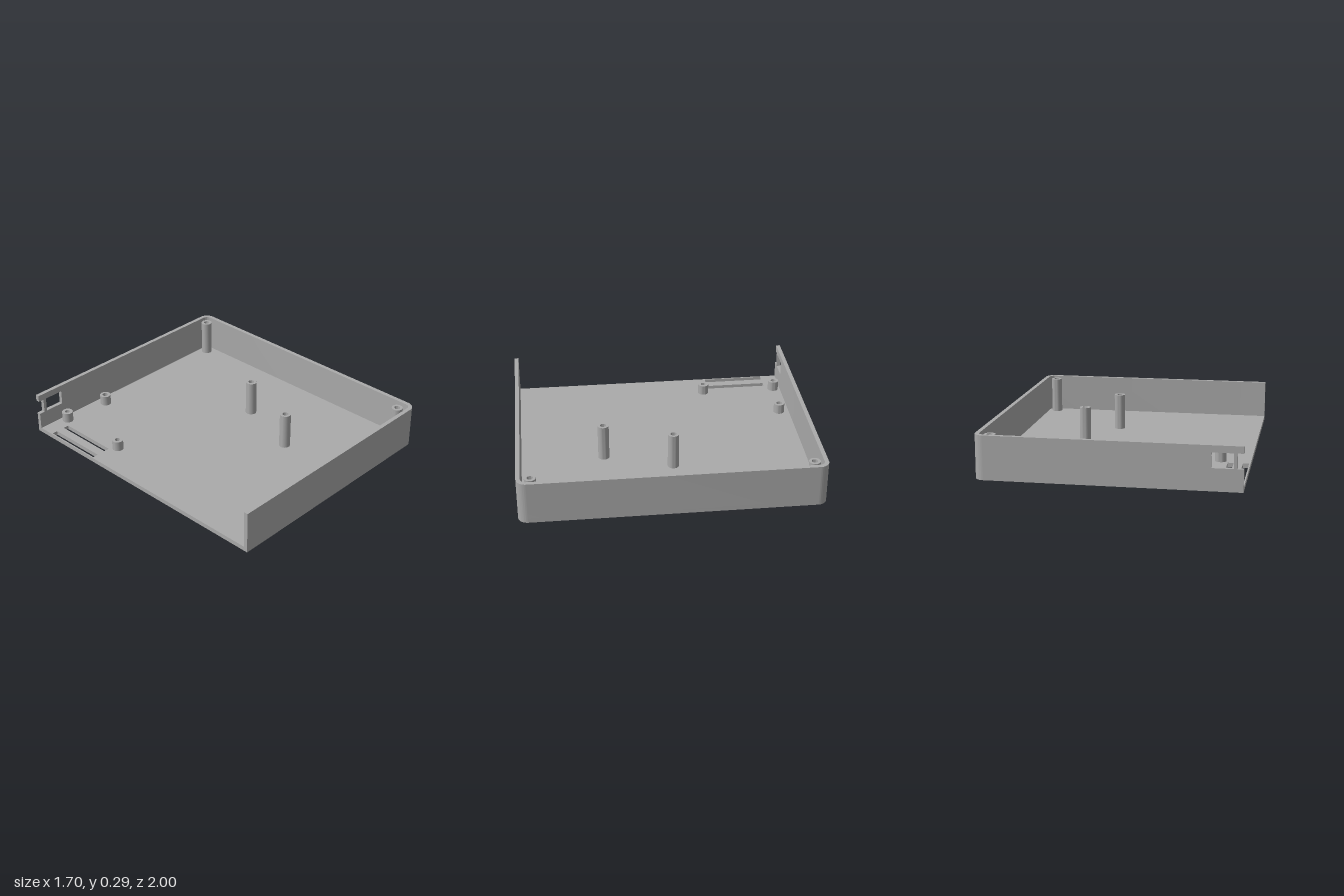
import * as THREE from 'three';
import { toCreasedNormals } from 'three/addons/utils/BufferGeometryUtils.js';

const W = 0.85, D = 1, H = 0.29, FLOOR = 0.03, WALL = 0.028, R = 0.065;
const END = -0.62; // where the plain back wall meets the port section

// x, z, top height, upper hole radius, underside bore radius, bore top
const POSTS = [
  [-0.65, -0.92, 0.10, 0.018, 0.028, 0.06],
  [-0.65, -0.39, 0.10, 0.018, 0.028, 0.06],
  [-0.31, -0.90, 0.10, 0.02, 0.015, 0.06],
  [0.33, -0.05, 0.28, 0.02, 0.031, 0.2],
  [0.17, 0.41, 0.28, 0.02, 0.031, 0.2],
  [0.76, -0.915, 0.28, 0.02, 0.031, 0.2],
  [0.76, 0.91, 0.28, 0.02, 0.031, 0.2],
];
const FEET = [[0.685, -0.835], [0.685, 0.835]];
const FOOT_R = 0.06;

const crease = (g) => toCreasedNormals(g, 0.6);

// Extrude a plan shape (shape y = -z) upward from y0 to y1
function slab(shape, y0, y1) {
  const g = new THREE.ExtrudeGeometry(shape, { depth: y1 - y0, bevelEnabled: false, curveSegments: 16 });
  g.rotateX(-Math.PI / 2);
  g.translate(0, y0, 0);
  return crease(g);
}

function rect(x0, y0, x1, y1) {
  const p = new THREE.Path();
  p.moveTo(x0, y0);
  p.lineTo(x1, y0);
  p.lineTo(x1, y1);
  p.lineTo(x0, y1);
  p.closePath();
  return p;
}

function circle(x, z, r) {
  const p = new THREE.Path();
  p.absarc(x, -z, r, 0, Math.PI * 2, true);
  return p;
}

export function createModel() {
  const group = new THREE.Group();
  const grey = new THREE.MeshStandardMaterial({ color: 0xaaaaaa });
  grey.name = 'plastic grey';
  const add = (name, geometry) => {
    const m = new THREE.Mesh(geometry, grey);
    m.name = name;
    group.add(m);
    return m;
  };

  // Floor, rounded on the closed side, with slots, screw holes and foot recesses
  const floor = new THREE.Shape();
  floor.moveTo(-W, -D);
  floor.lineTo(W - R, -D);
  floor.absarc(W - R, -D + R, R, -Math.PI / 2, 0, false);
  floor.lineTo(W, D - R);
  floor.absarc(W - R, D - R, R, 0, Math.PI / 2, false);
  floor.lineTo(-W, D);
  floor.closePath();
  for (const x of [-0.84, -0.74]) floor.holes.push(rect(x, 0.43, x + 0.04, 0.86));
  for (const [x, z, , , bore] of POSTS) floor.holes.push(circle(x, z, bore));
  for (const [x, z] of FEET) floor.holes.push(circle(x, z, FOOT_R));
  add('floor', slab(floor, 0, FLOOR));

  // Discs closing the shallow foot recesses
  for (const [x, z] of FEET) {
    const disc = new THREE.CylinderGeometry(FOOT_R, FOOT_R, FLOOR - 0.008, 32);
    add('footRecess', disc).position.set(x, (FLOOR + 0.008) / 2, z);
  }

  // U-shaped wall, open at the model's right
  const r = R - WALL;
  const wall = new THREE.Shape();
  wall.moveTo(-W, -D);
  wall.lineTo(W - R, -D);
  wall.absarc(W - R, -D + R, R, -Math.PI / 2, 0, false);
  wall.lineTo(W, D - R);
  wall.absarc(W - R, D - R, R, 0, Math.PI / 2, false);
  wall.lineTo(END, D);
  wall.lineTo(END, D - WALL);
  wall.lineTo(W - R, D - WALL);
  wall.absarc(W - R, D - R, r, Math.PI / 2, 0, true);
  wall.lineTo(W - WALL, -D + R);
  wall.absarc(W - R, -D + R, r, 0, -Math.PI / 2, true);
  wall.lineTo(-W, -D + WALL);
  wall.closePath();
  add('wall', slab(wall, FLOOR, H));

  // Back wall end with a port window, thin bar and open notch
  const port = new THREE.Shape();
  [[-W, FLOOR], [END, FLOOR], [END, H], [-W, H], [-W, 0.245], [-0.81, 0.245], [-0.81, 0.147], [-W, 0.147]]
    .forEach(([x, y], i) => (i ? port.lineTo(x, y) : port.moveTo(x, y)));
  port.closePath();
  port.holes.push(rect(-0.788, 0.147, -0.65, 0.245));
  const portGeo = new THREE.ExtrudeGeometry(port, { depth: WALL, bevelEnabled: false });
  portGeo.translate(0, 0, -D);
  add('portWall', portGeo);

  // Hollow screw posts, wider bore at the underside
  for (const [x, z, top, hole, bore, boreTop] of POSTS) {
    const profile = [
      [0.038, FLOOR], [0.038, top], [hole, top], [hole, boreTop], [bore, boreTop], [bore, FLOOR],
    ].map(([a, b]) => new THREE.Vector2(a, b));
    add('screwPost', crease(new THREE.LatheGeometry(profile, 32))).position.set(x, 0, z);
  }

  return group;
}
